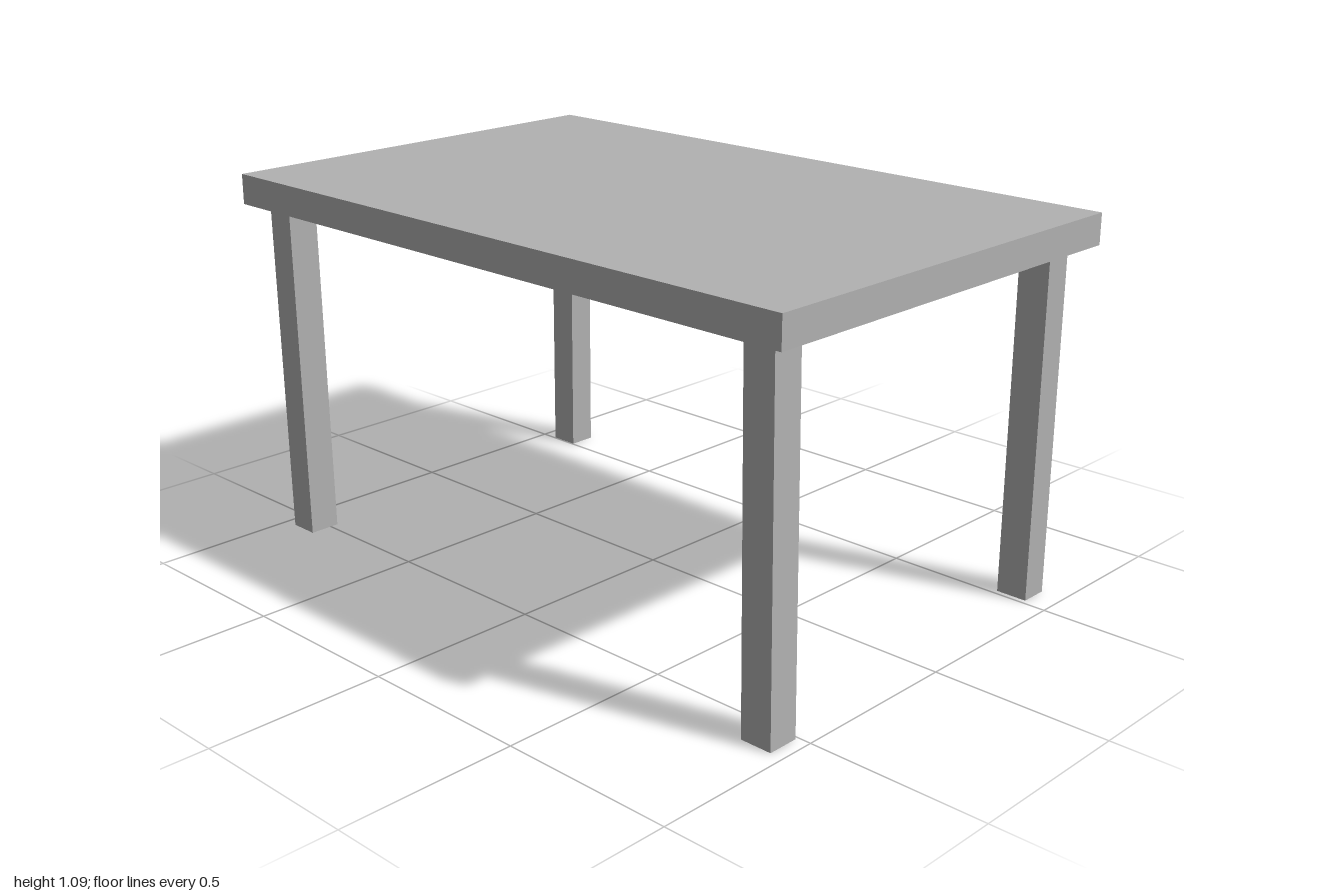
import * as THREE from 'three';

const TOP_Y = 1.0; // underside of the table top

// Square post whose foot is slid sideways from its head, so it leans slightly.
function leaningPost(width, depth, height, leanX, leanZ) {
  const geometry = new THREE.BoxGeometry(width, height, depth);
  geometry.translate(0, -height / 2, 0);
  const p = geometry.attributes.position;
  for (let i = 0; i < p.count; i++) {
    const t = -p.getY(i) / height;
    p.setX(i, p.getX(i) + leanX * t);
    p.setZ(i, p.getZ(i) + leanZ * t);
  }
  geometry.computeVertexNormals();
  return geometry;
}

export function createModel() {
  const group = new THREE.Group();
  group.name = 'table';
  const grey = new THREE.MeshStandardMaterial({ color: 0xb2b2b2 });
  grey.name = 'plain grey';

  // Flat slab top
  const top = new THREE.Mesh(new THREE.BoxGeometry(2, 0.087, 1.28), grey);
  top.name = 'tableTop';
  top.position.y = TOP_Y + 0.0435;
  group.add(top);

  // Four legs, each with its own small lean
  const legs = [
    { name: 'frontLeftLeg', x: 0.893, z: 0.543, w: 0.092, d: 0.091, leanX: 0.023, leanZ: 0.012 },
    { name: 'frontRightLeg', x: -0.901, z: 0.543, w: 0.088, d: 0.091, leanX: -0.015, leanZ: -0.022 },
    { name: 'backLeftLeg', x: 0.893, z: -0.546, w: 0.092, d: 0.083, leanX: -0.01, leanZ: -0.012 },
    { name: 'backRightLeg', x: -0.901, z: -0.546, w: 0.088, d: 0.083, leanX: -0.005, leanZ: 0.001 },
  ];
  for (const { name, x, z, w, d, leanX, leanZ } of legs) {
    const leg = new THREE.Mesh(leaningPost(w, d, TOP_Y, leanX, leanZ), grey);
    leg.name = name;
    leg.position.set(x, TOP_Y, z);
    group.add(leg);
  }
  return group;
}
